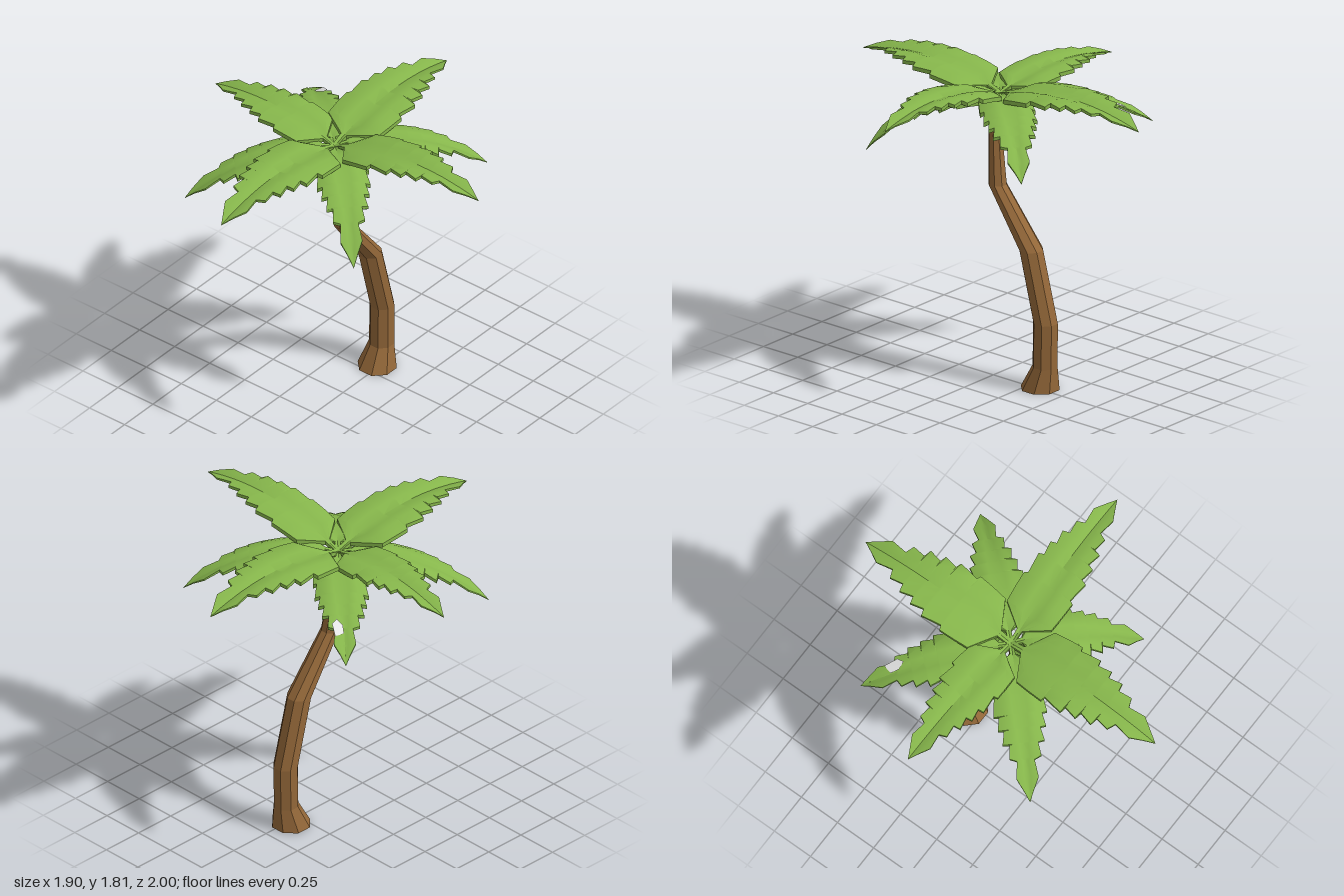
import * as THREE from 'three';
import { toCreasedNormals } from 'three/addons/utils/BufferGeometryUtils.js';

const material = (name, color, extra = {}) => {
  const m = new THREE.MeshStandardMaterial({ color, ...extra });
  m.name = name;
  return m;
};

// Skin a list of closed rings, each an array of [x, y, z]
function loft(rings) {
  const n = rings[0].length, index = [];
  for (let i = 0; i < rings.length - 1; i++) {
    for (let j = 0; j < n; j++) {
      const a = i * n + j, b = i * n + (j + 1) % n;
      index.push(a, b + n, b, a, a + n, b + n);
    }
  }
  const g = new THREE.BufferGeometry();
  g.setAttribute('position', new THREE.Float32BufferAttribute(rings.flat(2), 3));
  g.setIndex(index);
  g.computeVertexNormals();
  return g;
}

const HUB = { x: -0.06, z: 0, y: 1.66 };

// Each frond: tip position, arch control height, half width, edge droop
const FRONDS = [
  { name: 'frontFrond', tip: [-0.06, 1.68, 1.0], arch: 1.835, half: 0.195, droop: 0.42 },
  { name: 'backFrond', tip: [-0.07, 1.68, -1.0], arch: 1.835, half: 0.195, droop: 0.42 },
  { name: 'leftFrond', tip: [0.95, 1.735, -0.02], arch: 1.875, half: 0.165, droop: 0.42 },
  { name: 'rightFrond', tip: [-0.95, 1.655, -0.05], arch: 1.79, half: 0.165, droop: 0.42 },
  { name: 'frontLeftFrond', tip: [0.49, 1.36, 0.51], arch: 1.8, half: 0.155, droop: 0.6 },
  { name: 'frontRightFrond', tip: [-0.66, 1.36, 0.58], arch: 1.72, half: 0.155, droop: 0.6 },
  { name: 'backLeftFrond', tip: [0.51, 1.45, -0.64], arch: 1.78, half: 0.155, droop: 0.6 },
  { name: 'backRightFrond', tip: [-0.7, 1.45, -0.565], arch: 1.72, half: 0.155, droop: 0.6 },
];

// Sawtooth outline: [position along the frond, fraction of the half width]
const OUTLINE = [
  [0, 0], [0.001, 0.08], [0.08, 0.1], [0.17, 0.92], [0.26, 0.97], [0.35, 1], [0.36, 0.87],
  [0.48, 0.97], [0.49, 0.78], [0.57, 0.87], [0.58, 0.66], [0.66, 0.76], [0.67, 0.52],
  [0.75, 0.58], [0.77, 0.32], [0.87, 0.4], [0.94, 0.18], [1, 0],
];

// Point on a frond's upper surface: t along the arch, s sideways.
// The midrib is a groove, the blade crests beside it and droops at the edges.
function frondPoint({ tip, arch, half, droop }, t, s, dy = 0) {
  const dx = tip[0] - HUB.x, dz = tip[2] - HUB.z, len = Math.hypot(dx, dz);
  const y = (1 - t) ** 2 * HUB.y + 2 * t * (1 - t) * arch + t * t * tip[1];
  const q = Math.abs(s) / half;
  const lift = half * (0.42 * q - droop * q * q);
  return [HUB.x + dx * t + (dz / len) * s, y + lift + dy, HUB.z + dz * t - (dx / len) * s];
}

function frondGeometry(frond) {
  const columns = [-1, -0.6, -0.3, 0, 0.3, 0.6, 1];
  const rings = OUTLINE.map(([t, w]) => {
    const thick = 0.004 + 0.021 * (1 - t ** 3);
    const keel = (v) => -thick * (1 + 0.8 * w * (1 - Math.abs(v)));
    const top = columns.map((v) => frondPoint(frond, t, v * w * frond.half));
    const under = columns.map((v) => frondPoint(frond, t, v * w * frond.half, keel(v))).reverse();
    return [...top, ...under];
  });
  return toCreasedNormals(loft(rings), 0.6);
}

// Trunk levels: [centre x, y, centre z, radius]; zero radii close the ends
const TRUNK = [
  [-0.02, 0, -0.325, 0], [-0.02, 0, -0.325, 0.113], [-0.018, 0.14, -0.362, 0.073],
  [-0.018, 0.4, -0.365, 0.072], [-0.018, 0.81, -0.26, 0.071], [-0.016, 1.14, -0.017, 0.054],
  [-0.033, 1.43, 0.013, 0.04], [-0.055, 1.64, 0.002, 0.025], [-0.055, 1.64, 0.002, 0],
];

function trunkGeometry(sides = 8) {
  return loft(TRUNK.map(([x, y, z, r]) => Array.from({ length: sides }, (_, i) => {
    const a = ((i + 0.5) / sides) * Math.PI * 2;
    return [x + r * Math.cos(a), y, z + r * Math.sin(a)];
  })));
}

// Thin pale patch lying on one frond
function patchGeometry(frond) {
  const outline = [[0.83, -0.052], [0.74, -0.066], [0.705, -0.038], [0.745, -0.006], [0.8, -0.002]];
  const g = new THREE.BufferGeometry();
  const corners = outline.map(([t, s]) => frondPoint(frond, t, s, 0.009));
  g.setAttribute('position', new THREE.Float32BufferAttribute(corners.flat(), 3));
  g.setIndex([0, 2, 1, 0, 3, 2, 0, 4, 3]);
  g.computeVertexNormals();
  return g;
}

export function createModel() {
  const model = new THREE.Group();
  model.name = 'palmTree';
  const leaf = material('leaf green', 0x86b64b);
  const bark = material('bark brown', 0x946839, { flatShading: true });
  const pale = material('white', 0xffffff, { side: THREE.DoubleSide });
  const add = (name, geometry, mat) => {
    const mesh = new THREE.Mesh(geometry, mat);
    mesh.name = name;
    model.add(mesh);
    return mesh;
  };

  add('trunk', trunkGeometry(), bark);
  for (const frond of FRONDS) add(frond.name, frondGeometry(frond), leaf);
  add('frondPatch', patchGeometry(FRONDS[7]), pale);

  // Two faceted nuts under the crown, each standing on a point
  for (const [name, z] of [['frontNut', 0.08], ['backNut', -0.068]]) {
    const nut = add(name, new THREE.IcosahedronGeometry(0.073, 0).rotateZ(0.5536), leaf);
    nut.scale.y = 1.08;
    nut.position.set(-0.06, 1.588, z);
  }
  return model;
}
